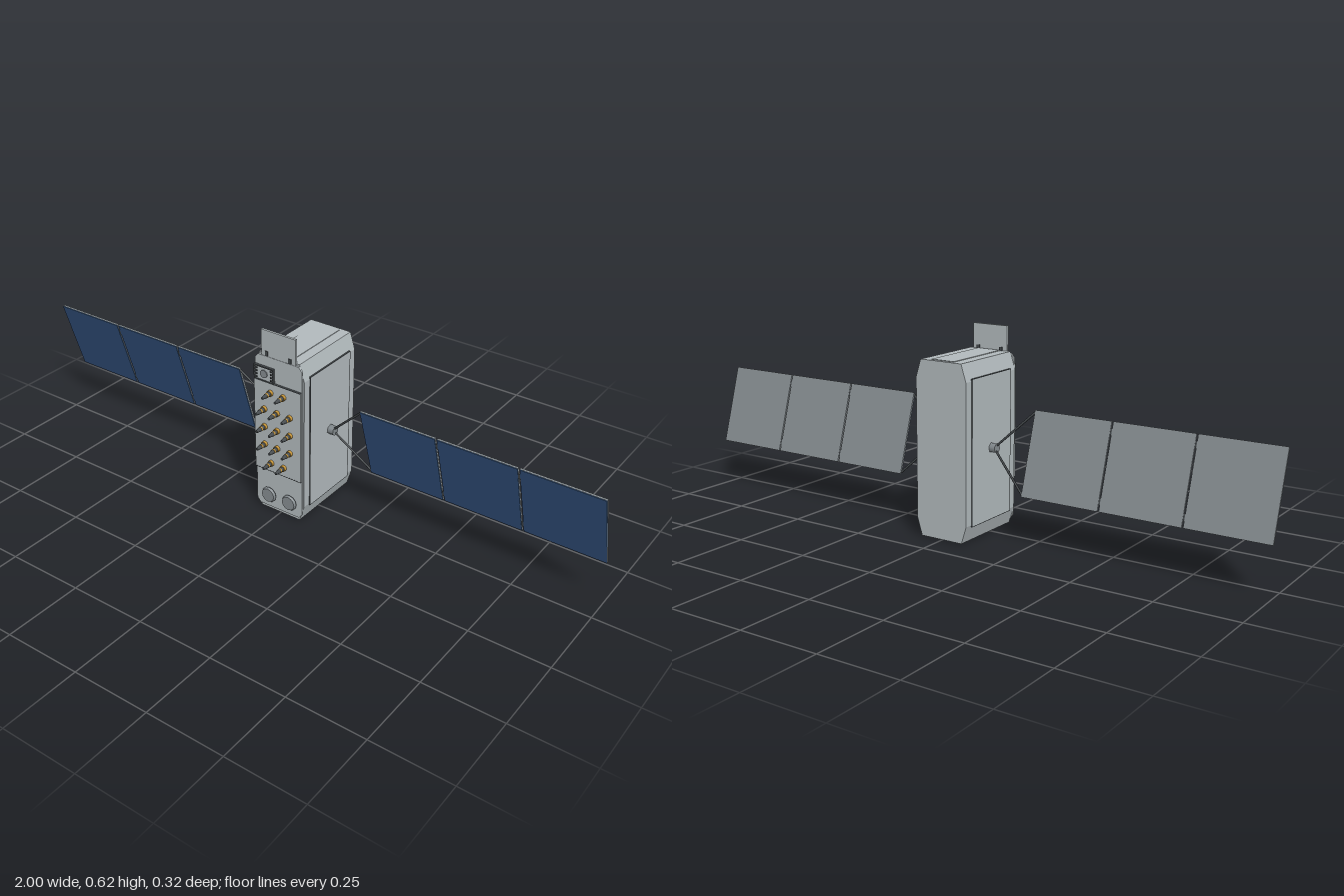
import * as THREE from 'three';

const paint = (name, color) => {
  const m = new THREE.MeshStandardMaterial({ color });
  m.name = name;
  return m;
};

export function createModel() {
  const hull = paint('hull grey', 0xb2babd);
  const grey = paint('mid grey', 0x858c90);
  const dark = paint('dark grey', 0x44494c);
  const blue = paint('solar blue', 0x33537f);
  const gold = paint('gold', 0xc8973a);

  const root = new THREE.Group();
  root.name = 'satellite';

  const add = (parent, name, geo, mat, x = 0, y = 0, z = 0) => {
    const m = new THREE.Mesh(geo, mat);
    m.name = name;
    m.position.set(x, y, z);
    parent.add(m);
    return m;
  };
  const box = (parent, name, mat, w, h, d, x, y, z) =>
    add(parent, name, new THREE.BoxGeometry(w, h, d), mat, x, y, z);
  // cylinder along z, r0 at the back and r1 at the front
  const zCyl = (parent, name, mat, r0, r1, z0, z1, x, y, sides = 12) => {
    const g = new THREE.CylinderGeometry(r1, r0, z1 - z0, sides).rotateX(Math.PI / 2);
    return add(parent, name, g, mat, x, y, (z0 + z1) / 2);
  };
  // thin rod between two points
  const rod = (parent, name, mat, a, b, r) => {
    const dir = b.clone().sub(a);
    const m = add(parent, name, new THREE.CylinderGeometry(r, r, dir.length(), 6), mat);
    m.position.copy(a).add(b).multiplyScalar(0.5);
    m.quaternion.setFromUnitVectors(new THREE.Vector3(0, 1, 0), dir.normalize());
    return m;
  };
  // rectangle with cut corners, extruded along z
  const cutSlab = (w, y0, y1, cx, cy, depth) => {
    const s = new THREE.Shape([
      [-w + cx, y0], [w - cx, y0], [w, y0 + cy], [w, y1 - cy],
      [w - cx, y1], [-w + cx, y1], [-w, y1 - cy], [-w, y0 + cy],
    ].map(p => new THREE.Vector2(...p)));
    return new THREE.ExtrudeGeometry(s, { depth, bevelEnabled: false });
  };

  // main body and front plate
  add(root, 'body', cutSlab(0.09, 0.002, 0.547, 0.017, 0.054, 0.261), hull, 0, 0, -0.158);
  add(root, 'frontPlate', cutSlab(0.086, 0.014, 0.541, 0.012, 0.014, 0.006), hull, 0, 0, 0.103);
  box(root, 'antennaPanel', hull, 0.17, 0.31, 0.008, 0, 0.305, 0.112);
  for (const y of [0.151, 0.459]) box(root, 'antennaPanelEdge', dark, 0.17, 0.002, 0.0085, 0, y, 0.112);

  // raised covers on top and bottom
  for (const y of [0.5475, 0.0015]) box(root, 'endCover', hull, 0.08, 0.003, 0.243, 0, y, -0.027);

  // side covers with a dark rim
  for (const s of [-1, 1]) {
    box(root, 'sideCover', hull, 0.006, 0.446, 0.202, s * 0.09, 0.275, -0.027);
    for (const e of [-1, 1]) {
      box(root, 'sideCoverRim', dark, 0.006, 0.002, 0.205, s * 0.09, 0.275 + e * 0.224, -0.027);
      box(root, 'sideCoverRim', dark, 0.006, 0.449, 0.002, s * 0.09, 0.275, -0.027 + e * 0.102);
    }
  }

  // upright plate on top with its two brackets
  box(root, 'topPlate', hull, 0.124, 0.09, 0.008, 0, 0.58, 0.104);
  for (const x of [-0.042, 0.042]) box(root, 'topBracket', dark, 0.01, 0.016, 0.014, x, 0.55, 0.103);

  // instrument in the upper corner: base, dark frame, ribs and lens
  const inst = new THREE.Group();
  inst.name = 'instrument';
  inst.position.set(-0.049, 0.483, 0.11);
  root.add(inst);
  box(inst, 'instrumentBase', hull, 0.07, 0.046, 0.008, 0, 0, 0);
  for (const e of [-1, 1]) {
    box(inst, 'instrumentFrame', dark, 0.072, 0.004, 0.014, 0, e * 0.023, 0);
    box(inst, 'instrumentFrame', dark, 0.004, 0.05, 0.014, e * 0.034, 0, 0);
    for (let i = 0; i < 4; i++)
      box(inst, 'instrumentRib', dark, 0.008, 0.004, 0.014, e * 0.028, -0.015 + i * 0.01, 0);
  }
  zCyl(inst, 'instrumentLens', grey, 0.013, 0.013, 0, 0.007, 0, 0, 12);

  // rows of spiked antennas
  const rows = [[0.428, 2], [0.366, 3], [0.305, 3], [0.243, 3], [0.182, 2]];
  for (const [y, n] of rows) {
    for (let i = 0; i < n; i++) {
      const x = (i - (n - 1) / 2) * 0.047;
      const a = new THREE.Group();
      a.name = 'antenna';
      a.position.set(x, y, 0);
      root.add(a);
      zCyl(a, 'antennaBase', gold, 0.01, 0.01, 0.115, 0.125, 0, 0);
      zCyl(a, 'antennaNeck', dark, 0.008, 0.006, 0.125, 0.134, 0, 0);
      zCyl(a, 'antennaRing', gold, 0.0075, 0.0075, 0.134, 0.139, 0, 0);
      zCyl(a, 'antennaTip', dark, 0.007, 0.004, 0.139, 0.158, 0, 0);
    }
  }

  // round lower sensors
  for (const x of [-0.039, 0.039]) {
    zCyl(root, 'sensorRim', dark, 0.026, 0.026, 0.108, 0.112, x, 0.057, 12);
    zCyl(root, 'sensor', grey, 0.026, 0.023, 0.112, 0.118, x, 0.057, 12);
  }

  // solar wings, tilted about the x axis
  for (const s of [-1, 1]) {
    const wing = new THREE.Group();
    wing.name = s > 0 ? 'leftWing' : 'rightWing';
    wing.position.set(0, 0.275, -0.0275);
    wing.rotation.x = 0.291;
    root.add(wing);

    add(wing, 'hub', new THREE.CylinderGeometry(0.016, 0.016, 0.022, 6).rotateZ(Math.PI / 2), grey, s * 0.102, 0, 0);
    for (const e of [-1, 1])
      rod(wing, 'yokeArm', dark, new THREE.Vector3(s * 0.106, e * 0.004, 0), new THREE.Vector3(s * 0.228, e * 0.127, 0), 0.0035);

    for (let i = 0; i < 3; i++) {
      const x = s * (0.352 + i * 0.26);
      box(wing, 'panelBack', grey, 0.255, 0.26, 0.006, x, 0, -0.001);
      box(wing, 'panelCells', blue, 0.253, 0.258, 0.002, x, 0, 0.003);
      if (i < 2) for (const e of [-1, 1])
        box(wing, 'hinge', dark, 0.008, 0.02, 0.006, x + s * 0.13, e * 0.1, 0);
    }
  }
  return root;
}
